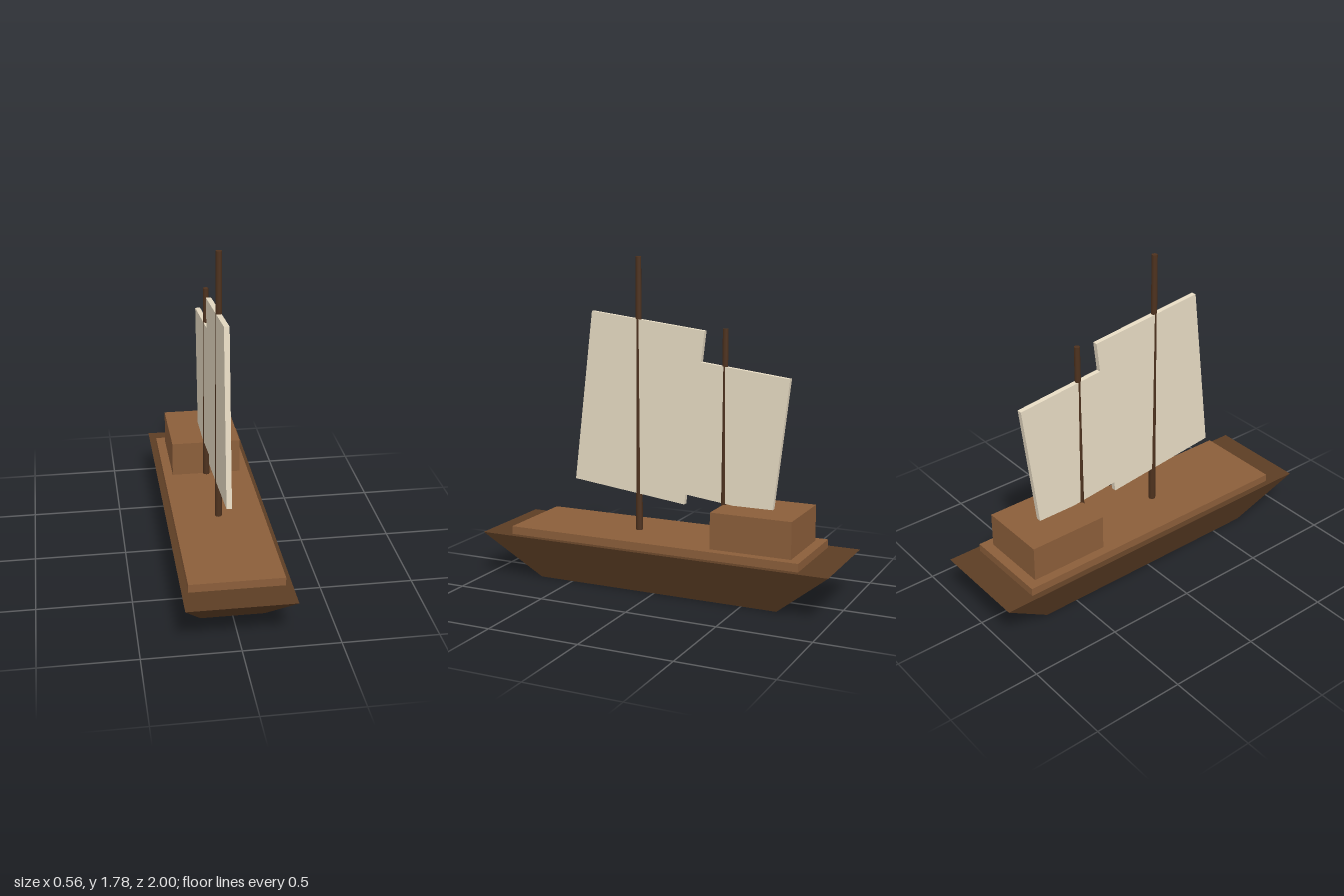
import * as THREE from 'three';

const paint = (name, color) => {
  const m = new THREE.MeshStandardMaterial({ color });
  m.name = name;
  return m;
};

export function createModel() {
  const hullBrown = paint('dark hull wood', 0x5c3d24);
  const deckBrown = paint('deck wood', 0x8b5e3a);
  const mastBrown = paint('mast wood', 0x4e321e);
  const canvas = paint('sail canvas', 0xe8dcc4);

  const ship = new THREE.Group();
  ship.name = 'sailingShip';

  const add = (name, geometry, material, x, y, z) => {
    const mesh = new THREE.Mesh(geometry, material);
    mesh.name = name;
    mesh.position.set(x, y, z);
    ship.add(mesh);
    return mesh;
  };

  // Hull: a box whose bottom tapers inwards on all sides
  const hull = new THREE.BoxGeometry(0.556, 0.25, 2).toNonIndexed();
  const p = hull.attributes.position;
  for (let i = 0; i < p.count; i++) {
    if (p.getY(i) < 0) {
      p.setX(i, p.getX(i) * 0.6);
      p.setZ(i, p.getZ(i) * 0.695);
    }
  }
  hull.computeVertexNormals();
  add('hull', hull, hullBrown, 0, 0.125, 0);

  // Raised deck and stern cabin
  add('deck', new THREE.BoxGeometry(0.489, 0.054, 1.667), deckBrown, 0, 0.267, 0);
  add('cabin', new THREE.BoxGeometry(0.389, 0.2, 0.444), deckBrown, 0, 0.39, -0.556);

  // Tapered masts, each with a thin sail raked about its centre
  const rigs = [
    { name: 'main', z: 0.167, top: 1.78, sailY: 0.975, width: 0.667, height: 0.944 },
    { name: 'mizzen', z: -0.333, top: 1.42, sailY: 0.86, width: 0.639, height: 0.722 },
  ];
  for (const r of rigs) {
    const length = r.top - 0.28;
    const mast = new THREE.CylinderGeometry(0.0155, 0.0195, length, 8);
    add(r.name + 'Mast', mast, mastBrown, 0, 0.28 + length / 2, r.z);
    const sail = add(r.name + 'Sail', new THREE.BoxGeometry(0.028, r.height, r.width), canvas, 0, r.sailY, r.z);
    sail.rotation.x = -0.12;
  }
  return ship;
}
